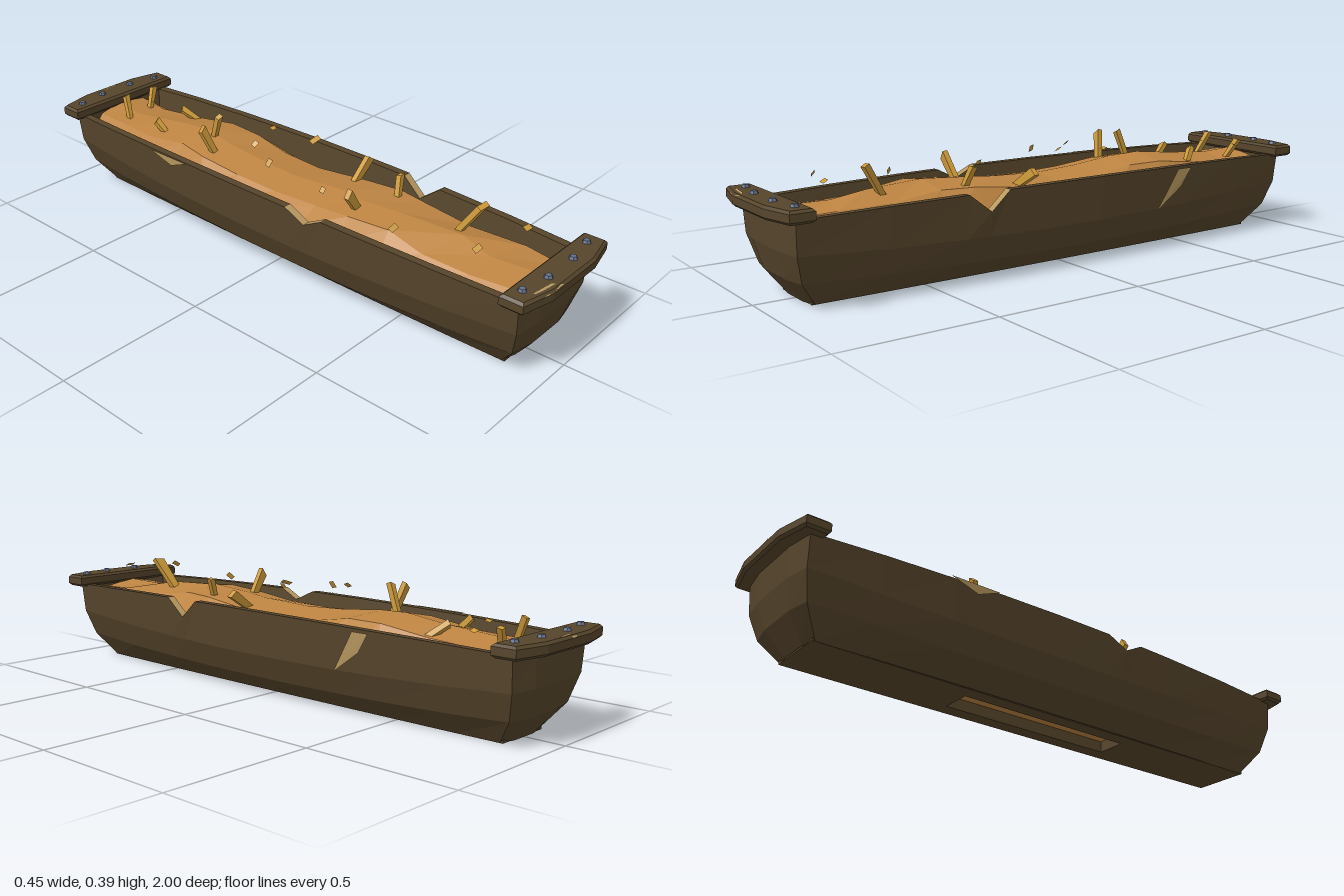
import * as THREE from 'three';

const mat = (name, color, extra = {}) =>
  Object.assign(new THREE.MeshStandardMaterial({ color, flatShading: true, ...extra }), { name });

export function createModel() {
  const group = new THREE.Group();
  const wood = mat('dark wood', 0x56452b);
  const split = mat('split pale wood', 0xb8985f, { side: THREE.DoubleSide });
  const meal = mat('sawdust', 0xbd8442, { side: THREE.DoubleSide });
  const gold = mat('wood chip', 0xcd9a3a);
  const steel = mat('bolt steel', 0x64708a);

  const add = (name, geometry, material, x = 0, y = 0, z = 0) => {
    const mesh = new THREE.Mesh(geometry, material);
    mesh.name = name;
    mesh.position.set(x, y, z);
    group.add(mesh);
    return mesh;
  };
  // Unshared triangles from a list of corner points
  const facets = (points) => {
    const g = new THREE.BufferGeometry().setFromPoints(points);
    g.computeVertexNormals();
    return g;
  };
  const quad = (list, a, b, c, d) => list.push(a, b, c, a, c, d);
  const V = (x, y, z) => new THREE.Vector3(x, y, z);

  // Trough shell: rings rise up the outside, cross the rim and go down inside
  const stations = [1, 0.7, 0.43, 0.35, 0.28, 0.21, 0.13, -0.1, -0.36, -0.5, -0.75, -1];
  const levels = [ // end y, middle y, end half width, middle half width, half length
    [0, 0, 0.1, 0.107, 0.87],
    [0.08, 0.06, 0.152, 0.18, 0.93],
    [0.167, 0.14, 0.18, 0.213, 0.953],
    [0.27, 0.283, 0.19, 0.224, 0.957],
    [0.27, 0.283, 0.165, 0.197, 0.915],
    [0.15, 0.15, 0.15, 0.18, 0.9],
    [0.04, 0.04, 0.09, 0.1, 0.85],
  ];
  const ring = ([yEnd, yMid, wEnd, wMid, L], k) => {
    const rim = k === 3 || k === 4;
    const side = (s, u) => {
      const t = 1 - u * u;
      const notch = !rim ? 0 : s > 0 && u === 0.35 ? 0.06 : s < 0 && u === 0.21 ? 0.035 : 0;
      const z = Math.abs(u) === 1 ? u * (L - 0.015) : u * 0.95;
      return V(s * (wEnd + (wMid - wEnd) * t), yEnd + (yMid - yEnd) * t - notch, z);
    };
    const right = stations.map((u) => side(1, u));
    const left = [...stations].reverse().map((u) => side(-1, u));
    const end = (s) => [0.5, -0.5].map((f) => V(-s * f * wEnd, yEnd, s * L));
    return [...right, ...end(-1), ...left, ...end(1)];
  };
  const rings = levels.map(ring);
  const shell = [], broken = [];
  const n = rings[0].length;
  for (let k = 0; k < rings.length - 1; k++) {
    for (let i = 0; i < n; i++) {
      const j = (i + 1) % n;
      const a = rings[k][i], b = rings[k][j], c = rings[k + 1][j], d = rings[k + 1][i];
      const mid = (a.z + b.z) / 2;
      const torn = k === 3 && (a.x > 0 ? mid > 0.26 && mid < 0.41 : mid > 0.12 && mid < 0.27 && a.x < -0.19);
      quad(torn ? broken : shell, a, b, c, d);
    }
  }
  add('troughShell', facets(shell), wood);
  add('brokenRim', facets(broken), split);

  // Floor with a long slot, closed above by the packed filling
  const rect = (T, w, h) => new T([[-w, -h], [w, -h], [w, h], [-w, h]].map(([x, y]) => new THREE.Vector2(x, y)));
  const floorShape = rect(THREE.Shape, 0.1, 0.865);
  floorShape.holes.push(rect(THREE.Path, 0.05, 0.32));
  const floor = new THREE.ExtrudeGeometry(floorShape, { depth: 0.04, bevelEnabled: false });
  add('floorWithSlot', floor.rotateX(-Math.PI / 2), wood);
  add('packedFilling', new THREE.BoxGeometry(0.12, 0.008, 0.68), meal, 0, 0.042, 0);

  // Cracks: thin pale slivers on the outer walls
  add('sideCrack', facets([V(0.212, 0.138, -0.34), V(0.217, 0.21, -0.44), V(0.223, 0.272, -0.48),
    V(0.212, 0.138, -0.34), V(0.223, 0.272, -0.48), V(0.223, 0.272, -0.42)]), split);
  add('sideSliver', facets([V(-0.224, 0.282, -0.32), V(-0.222, 0.25, -0.4), V(-0.224, 0.28, -0.5)]), split);

  // Filling: a lumpy faceted mound
  const rand = (i, j) => { const s = Math.sin(i * 12.99 + j * 78.23) * 43758.5; return s - Math.floor(s); };
  const hump = (z) => 0.272 + 0.032 * Math.exp(-(((z - 0.42) / 0.17) ** 2)) +
    0.03 * Math.exp(-(((z + 0.36) / 0.2) ** 2));
  const rows = 13;
  const mound = Array.from({ length: rows }, (_, i) => {
    const z = -0.91 + (1.82 * i) / (rows - 1);
    const t = 1 - (z / 0.91) ** 2;
    return [-1, -0.66, -0.1, 0.58, 1].map((f, j) => {
      const edge = Math.abs(f) === 1;
      const wobble = i % (rows - 1) === 0 || edge ? 0 : rand(i, j) - 0.5;
      const y = edge ? (f > 0 ? 0.19 : 0.215) : hump(z) - (j === 2 ? 0 : 0.018) + wobble * 0.018;
      return V(f * (0.16 + 0.025 * t) + wobble * 0.03, y, z + wobble * 0.07);
    });
  });
  const moundTris = [];
  for (let i = 0; i < rows - 1; i++) {
    for (let j = 0; j < 4; j++) quad(moundTris, mound[i][j], mound[i + 1][j], mound[i + 1][j + 1], mound[i][j + 1]);
  }
  add('sawdustMound', facets(moundTris), meal);

  // Chips sticking out: base x, base z, lean x, lean z, tip y, width
  const chips = [
    [-0.07, -0.79, 0.02, -0.04, 0.33, 0.02], [0.05, -0.82, 0.04, -0.02, 0.32, 0.02],
    [0.08, -0.76, 0.05, -0.02, 0.31, 0.02], [-0.04, -0.72, 0.04, -0.02, 0.315, 0.018],
    [-0.07, -0.58, -0.01, -0.05, 0.3, 0.022], [0.09, -0.58, -0.04, -0.06, 0.3, 0.022],
    [-0.02, -0.41, -0.01, 0.05, 0.378, 0.02], [-0.08, -0.32, -0.04, -0.03, 0.365, 0.026],
    [0.04, -0.24, 0.04, 0.03, 0.345, 0.022], [-0.03, -0.2, -0.03, 0.04, 0.35, 0.02],
    [-0.04, -0.08, -0.07, 0.03, 0.335, 0.024], [0.08, -0.09, 0, 0.07, 0.36, 0.034],
    [0.07, 0.15, 0.1, -0.01, 0.315, 0.03], [-0.06, 0.16, -0.04, 0.01, 0.31, 0.018],
    [-0.05, 0.28, -0.07, 0.01, 0.345, 0.03], [0.06, 0.34, 0.04, -0.02, 0.34, 0.02],
    [-0.09, 0.41, -0.05, 0.07, 0.31, 0.024], [0.02, 0.58, 0.03, 0.08, 0.372, 0.036],
    [-0.08, 0.67, -0.03, 0.08, 0.335, 0.024], [0.03, 0.74, 0.04, 0.06, 0.345, 0.028],
  ];
  chips.forEach(([x, z, dx, dz, tip, w]) => {
    const dir = V(dx, tip - 0.25, dz);
    const len = dir.length();
    const g = new THREE.BoxGeometry(w, len, 0.018).translate(0, len / 2, 0);
    const p = g.attributes.position;
    for (let i = 0; i < p.count; i++) { // slanted tip, narrower root
      if (p.getY(i) > 0) p.setY(i, len + p.getX(i) * 0.4);
      else p.setX(i, p.getX(i) * 0.7);
    }
    g.computeVertexNormals();
    add('woodChip', g, gold, x, 0.25, z).quaternion.setFromUnitVectors(V(0, 1, 0), dir.normalize());
  });

  // End boards with bowed outer edges and four hexagonal bolts each
  const outline = [[-0.217, -0.905], [0.217, -0.905], [0.217, -0.968], [0.11, -0.992], [-0.11, -0.992], [-0.217, -0.968]];
  const board = new THREE.ExtrudeGeometry(
    new THREE.Shape(outline.map(([x, y]) => new THREE.Vector2(x, y)).reverse()),
    { depth: 0.024, bevelThickness: 0.008, bevelSize: 0.008, bevelSegments: 1 },
  ).rotateX(-Math.PI / 2);
  for (const s of [1, -1]) {
    add('endBoard', board, wood, 0, 0.273, 0).rotation.y = s > 0 ? 0 : Math.PI;
    for (const x of [-0.17, -0.065, 0.067, 0.172]) {
      add('bolt', new THREE.CylinderGeometry(0.01, 0.014, 0.01, 6), steel, x, 0.309, s * (Math.abs(x) > 0.1 ? 0.935 : 0.952));
    }
  }

  // Worn pale patches on the board edges
  add('frontBoardChip', facets([V(-0.165, 0.3065, 0.965), V(-0.14, 0.298, 0.995), V(-0.06, 0.302, 1),
    V(-0.165, 0.3065, 0.965), V(-0.06, 0.302, 1), V(-0.09, 0.3065, 0.975)]), split);
  add('backBoardChip', facets([V(0.03, 0.3065, -0.985), V(0.015, 0.293, -1.0), V(-0.04, 0.3, -1.0),
    V(0.03, 0.3065, -0.985), V(-0.04, 0.3, -1.0), V(-0.03, 0.3065, -0.98)]), split);
  return group;
}
